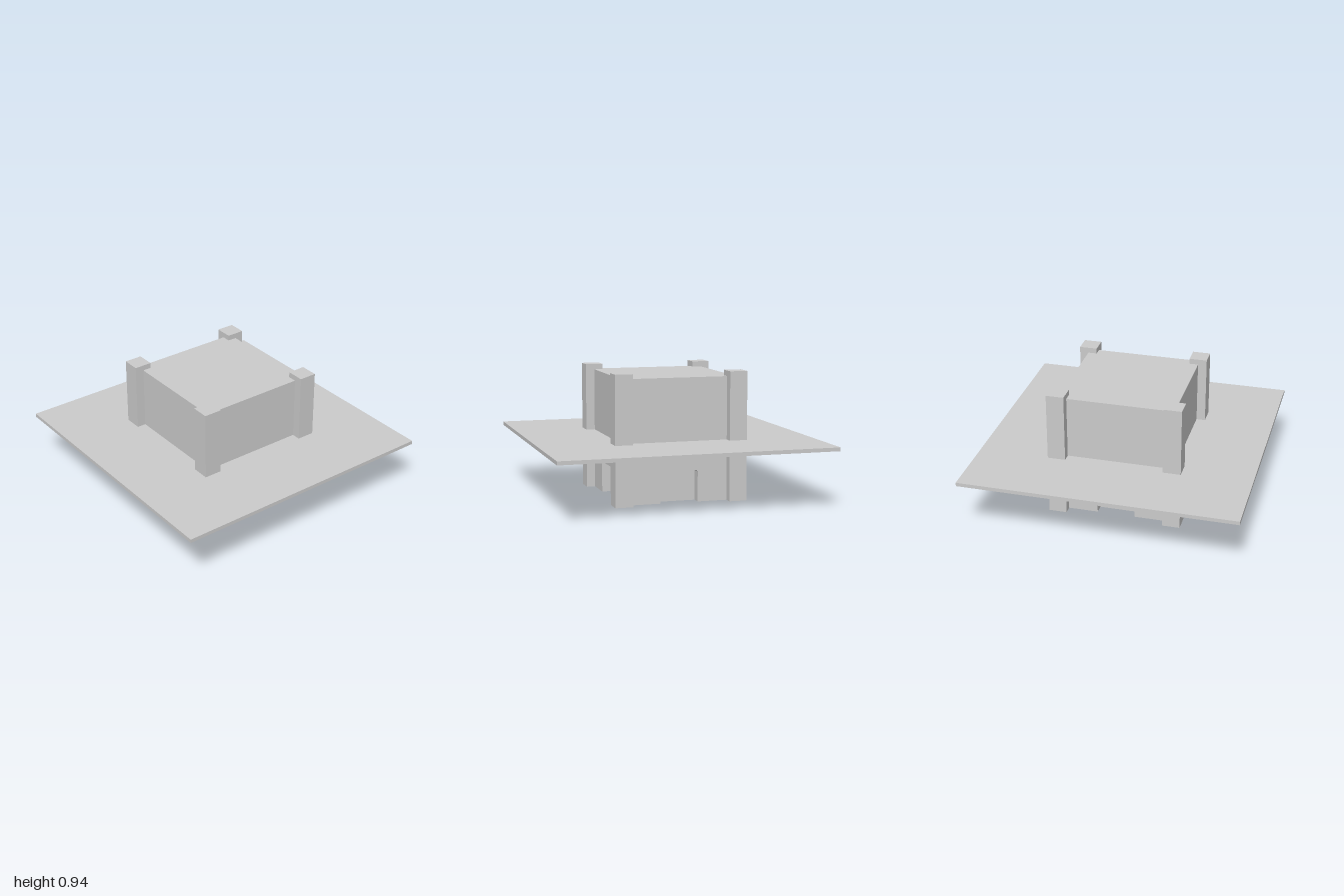
import * as THREE from 'three';

const HALF = 0.424;      // half width of the square body
const RECESS = 0.07;     // depth of the doorways
const FLOOR = 0.43;      // where lower walls meet the upper storey

export function createModel() {
  const model = new THREE.Group();
  const material = new THREE.MeshStandardMaterial({ color: 0xcccccc, flatShading: true });

  const add = (parent, name, geometry, x = 0, y = 0, z = 0) => {
    const mesh = new THREE.Mesh(geometry, material);
    mesh.name = name;
    mesh.position.set(x, y, z);
    parent.add(mesh);
    return mesh;
  };
  const box = (parent, name, w, y0, y1, x = 0, z = 0) =>
    add(parent, name, new THREE.BoxGeometry(w, y1 - y0, w), x, (y0 + y1) / 2, z);

  // Wide thin deck around the building
  box(model, 'deck', 2, 0.415, 0.442);

  // The building sits slightly behind the deck's centre
  const building = new THREE.Group();
  building.name = 'building';
  building.position.z = -0.014;
  model.add(building);

  box(building, 'upperStorey', 2 * HALF, FLOOR, 0.9);
  box(building, 'lowerCore', 2 * (HALF - RECESS), 0, FLOOR);

  // Lower wall outline with a doorway notch, corners slightly cut
  const d = 0.14, h = 0.23, c = 0.012, w = 0.41;
  const wall = new THREE.Shape([
    [-w, 0], [-d, 0], [-d, h - c], [-d + c, h], [d - c, h], [d, h - c],
    [d, 0], [w, 0], [w, FLOOR], [-w, FLOOR],
  ].map(([x, y]) => new THREE.Vector2(x, y)));
  const wallGeometry = new THREE.ExtrudeGeometry(wall, { depth: RECESS, bevelEnabled: false });
  wallGeometry.translate(0, 0, HALF - RECESS);

  ['frontWall', 'leftWall', 'backWall', 'rightWall'].forEach((name, i) => {
    add(building, name, wallGeometry).rotation.y = i * Math.PI / 2;
  });

  // Square corner pillars
  for (const sx of [-1, 1]) {
    for (const sz of [-1, 1]) {
      box(building, 'cornerPillar', 0.13, 0, 0.94, sx * HALF, sz * HALF);
    }
  }
  return model;
}
